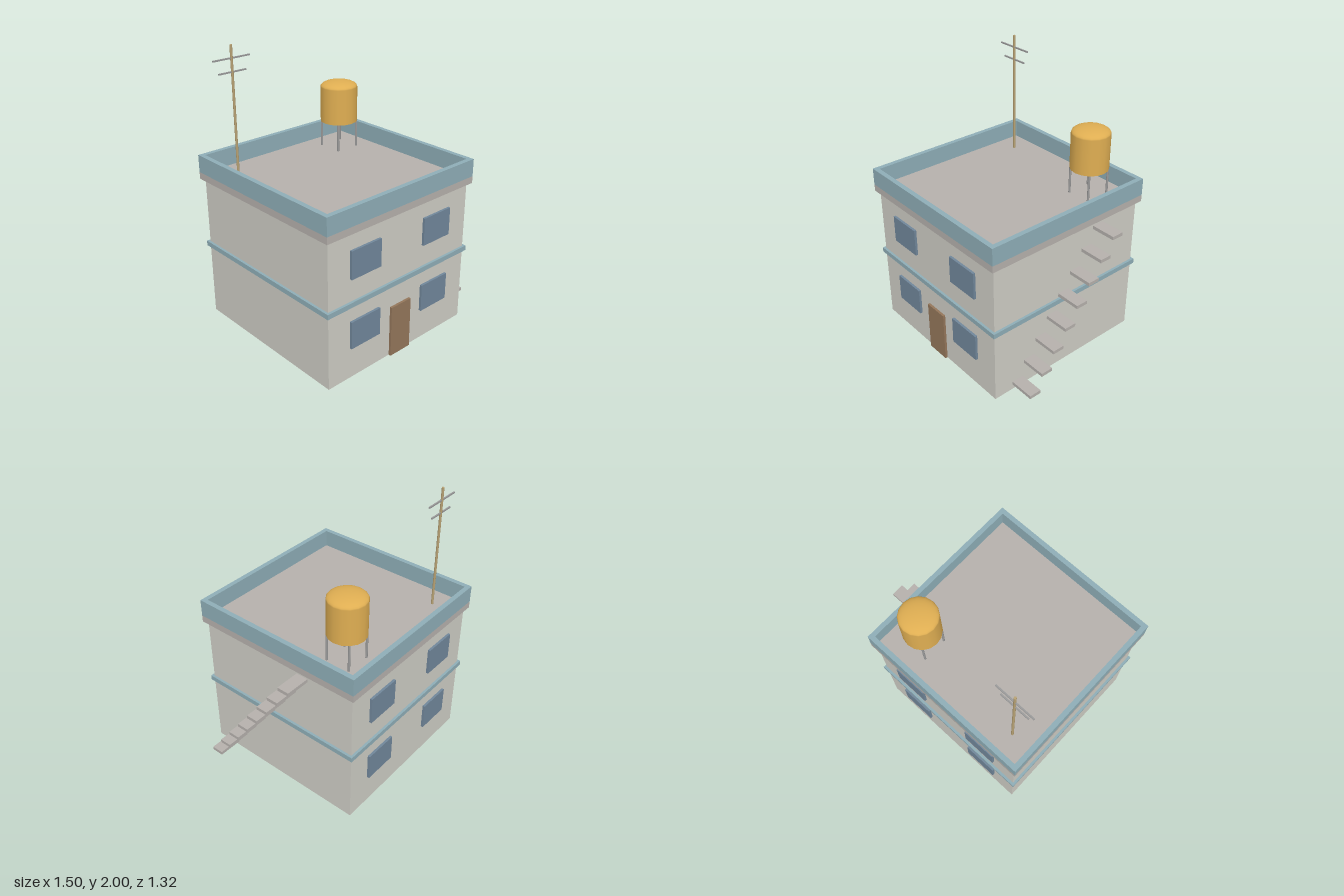
import * as THREE from 'three';

export function createModel() {
  const house = new THREE.Group();
  house.name = 'house';
  const paint = (color) => new THREE.MeshStandardMaterial({ color });
  const wall = paint(0xcdccc4), concrete = paint(0xb5b0ac), trim = paint(0x8eadb6);
  const glass = paint(0x70869a), wood = paint(0x93765a), yellow = paint(0xdfae52);
  const tan = paint(0xb8a274), metal = paint(0x9a9a9a);

  const add = (name, geometry, material, x, y, z, parent = house) => {
    const mesh = new THREE.Mesh(geometry, material);
    mesh.name = name;
    mesh.position.set(x, y, z);
    parent.add(mesh);
    return mesh;
  };
  // Box given by its centre in x and z and its bottom height
  const box = (name, material, w, h, d, x, y, z, parent) =>
    add(name, new THREE.BoxGeometry(w, h, d), material, x, y + h / 2, z, parent);
  const group = (name) => {
    const g = new THREE.Group();
    g.name = name;
    house.add(g);
    return g;
  };

  const cx = -0.09;   // middle of the building
  const roofY = 1.11; // top of the roof slab

  // Body, floor band and roof slab
  box('walls', wall, 1.27, 1.06, 1.27, cx, 0, 0);
  box('floorBand', trim, 1.306, 0.036, 1.306, cx, 0.54, 0);
  box('roofSlab', concrete, 1.324, 0.05, 1.324, cx, 1.06, 0);

  // Parapet: a square ring standing on the slab
  const square = (path, r) =>
    path.moveTo(-r, -r).lineTo(r, -r).lineTo(r, r).lineTo(-r, r).closePath();
  const ring = square(new THREE.Shape(), 0.662);
  ring.holes.push(square(new THREE.Path(), 0.627));
  const parapet = new THREE.ExtrudeGeometry(ring, { depth: 0.126, bevelEnabled: false });
  parapet.rotateX(-Math.PI / 2);
  add('parapet', parapet, trim, cx, roofY, 0);

  // Windows on the front and back of both floors
  const windows = group('windows');
  for (const z of [0.64, -0.64])
    for (const y of [0.23, 0.738])
      for (const side of [-1, 1])
        box('window', glass, 0.254, 0.2, 0.025, cx + side * 0.326, y, z, windows);

  // Front door
  box('door', wood, 0.182, 0.38, 0.025, cx, 0, 0.64);

  // Floating stairs up the left side
  const stairs = group('stairs');
  for (let i = 0; i < 8; i++)
    box('step', concrete, 0.18, 0.025, 0.09, 0.655, 0.063 + i * 0.1364, 0.456 - i * 0.1, stairs);

  // Water tank with a flattened dome on four legs
  const tank = group('waterTank');
  tank.position.set(0.31, 0, -0.4);
  add('tankBody', new THREE.CylinderGeometry(0.135, 0.135, 0.26, 16), yellow, 0, 1.44, 0, tank);
  const dome = new THREE.SphereGeometry(0.135, 16, 8, 0, Math.PI * 2, 0, Math.PI / 2);
  dome.scale(1, 0.31, 1);
  add('tankDome', dome, yellow, 0, 1.57, 0, tank);
  for (const x of [-0.09, 0.09])
    for (const z of [-0.09, 0.09])
      add('tankLeg', new THREE.CylinderGeometry(0.008, 0.008, 0.2, 8), metal, x, 1.21, z, tank);

  // Antenna mast with two crossbars
  const antenna = group('antenna');
  antenna.position.set(-0.56, 0, -0.473);
  add('mast', new THREE.CylinderGeometry(0.009, 0.009, 0.89, 8), tan, 0, 1.555, 0, antenna);
  box('upperBar', metal, 0.29, 0.01, 0.01, 0, 1.907, 0, antenna);
  box('lowerBar', metal, 0.216, 0.01, 0.01, 0, 1.815, 0, antenna);

  return house;
}
